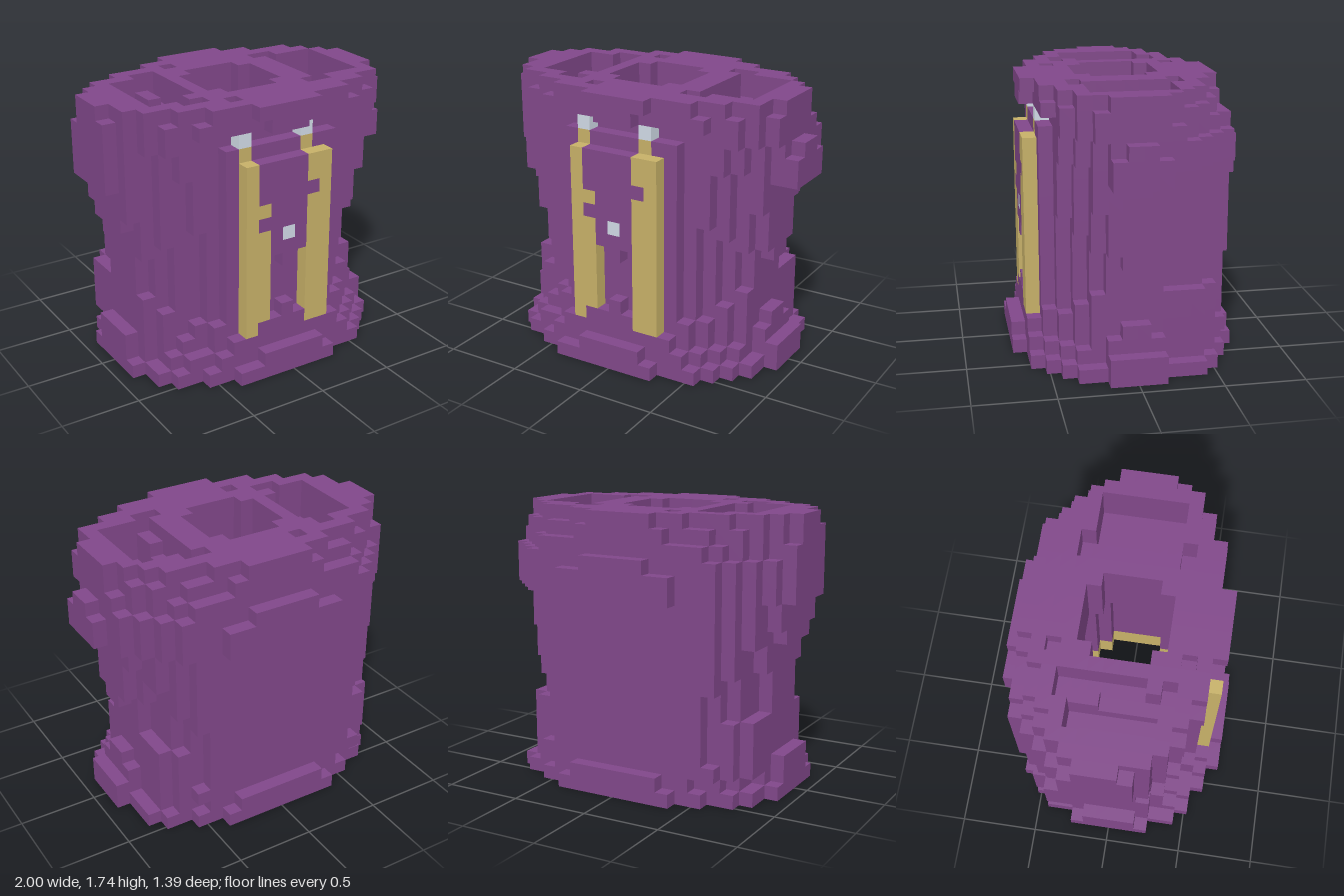
import * as THREE from 'three';

// Block grid: 23 wide (i), 20 high (j), 16 deep (k, back to front)
const NX = 23, NY = 20, NZ = 16, S = 2 / 23;

// Outlines per depth row: [first, last] column; null where the row is empty
const HEM = [[7, 15], [5, 17], [3, 19], [2, 20], [2, 20], [1, 20], [1, 21], [1, 21],
  [1, 21], [1, 21], [1, 20], [2, 20], [2, 19], [3, 18], [5, 17], [7, 14]];
const SHOULDER = [null, [4, 18], [3, 19], [2, 20], [1, 21], [0, 21], [0, 21], [0, 21],
  [0, 21], [0, 21], [1, 21], [2, 20], [3, 19], null, null, null];
const RIM_LOWER = [null, [8, 14], [5, 17], [3, 19], [2, 20], [1, 20], [0, 21], [0, 21],
  [0, 21], [0, 21], [1, 21], [2, 20], [3, 19], [5, 17], [10, 12], null];
const RIM_UPPER = [null, [9, 13], [7, 15], [4, 18], [2, 19], [1, 20], [0, 21], [0, 21],
  [0, 21], [1, 21], [1, 20], [2, 20], [4, 18], [6, 16], [9, 13], null];
// Waist rows also hold the layer where the hem flare ends and where the chest swelling starts
const BODY = [null, [5, 16, 2, 8], [4, 17, 5, 9], [3, 18, 5, 11], [3, 18, 5, 11], [3, 18, 5, 9],
  [2, 19, 2, 9], [2, 19, 3, 8], [2, 19, 3, 8], [2, 19, 2, 9], [3, 18, 5, 9], [4, 17, 4, 10],
  [6, 16, 3, 11], [7, 15, 3, 20], null, null];

const within = (v, a, b) => v >= a && v <= b;
const inRow = (rows, i, k) => !!rows[k] && within(i, rows[k][0], rows[k][1]);
const narrowed = (rows, i, k) => inRow(rows, i - 1, k) && inRow(rows, i + 1, k);
// True when the blocks d away on the four sides are in the outline
const inset = (rows, i, k, d) => inRow(rows, i - d, k) && inRow(rows, i + d, k) &&
  inRow(rows, i, k - d) && inRow(rows, i, k + d);
// The same one block away, diagonals included
const insetAll = (rows, i, k) => inset(rows, i, k, 1) && narrowed(rows, i, k - 1) && narrowed(rows, i, k + 1);

function inBody(i, j, k) {
  if (!BODY[k]) return false;
  const [a, b, low, high] = BODY[k];
  const extra = j >= 12 && (k === 5 || k === 10) ? 1 : 0;
  const right = (j <= low || j >= high ? 1 : 0) + extra;
  const left = within(k, 6, 9) ? (j <= 2 || j >= 11 ? 1 : 0) : right;
  return within(i, a - left, b + right);
}

// Straps, studs and panel on the front
function frontPart(i, j, k) {
  if (k === 13 && (i === 8 || i === 13)) {
    if (j === 16) return 'straps';
    if (j === 17) return 'studs';
  }
  if (k !== 14 || !within(j, 3, 15)) return null;
  if (i === 8 || i === 14) return 'straps';
  if (i === 9 && (within(j, 4, 10) || j === 12)) return 'straps';
  if (i === 13 && j !== 13) return 'straps';
  if (i === 11 && j === 10) return 'studs';
  if (within(i, 9, 13) && (j >= 9 || j === 3)) return 'shell';
  if (i === 11 && (j === 8 || j === 4)) return 'shell';
  return null;
}

// Outer solid of the garment
function solid(i, j, k) {
  if (j === 0) return inRow(HEM, i, k);
  if (j === 1) {
    if (k === 15) return within(i, 9, 13);
    if (k === 0) return within(i, 8, 14);
    return within(k, 6, 9) ? inRow(HEM, i, k) : narrowed(HEM, i, k);
  }
  if (j === 2) {
    if (k === 14) return within(i, 7, 15);
    return inBody(i, j, k) || insetAll(HEM, i, k);
  }
  if (j === 19) return inRow(RIM_UPPER, i, k);
  if (j === 18) return inRow(RIM_LOWER, i, k);
  if (j >= 14) {
    // back plate and side knobs
    if (k === 0) return j <= 15 ? within(i, 7, 15) : j === 16 && within(i, 9, 13);
    if (i === 22) return j <= 15 ? within(k, 6, 9) : j === 16 && within(k, 7, 8);
    if (j === 17) return k <= 4 ? narrowed(SHOULDER, i, k) : inRow(SHOULDER, i, k);
    if (k <= 9) return inRow(SHOULDER, i, k);
    return inBody(i, j, k) || j >= 15 && narrowed(SHOULDER, i, k);
  }
  return inBody(i, j, k);
}

// Hollow body, neck opening and pockets in the top
function carved(i, j, k) {
  if (j < 15) {
    if (within(k, 6, 9)) return within(i, 5, 16);
    if (k === 5 || k === 10) return within(i, 6, 15);
    return (k === 4 || k === 11) && within(i, 7, 14);
  }
  if (within(k, 6, 9) ? within(i, 8, 13) : (k === 5 || k === 10) && within(i, 9, 12)) return true;
  if (j === 19 && (k === 3 || k === 12) && i === 8) return true;
  if (j < 17) return false;
  if (within(k, 5, 10)) {
    if (within(i, 3, 4) || within(i, 17, 19)) return true;
    if (i === 5) return j >= 18 && !(j === 18 && k < 7);
    if (i === 6) return j >= 18 && k < 10;
    if (i === 16) return j === 19 || j === 18 && k < 9;
  }
  return j >= 18 && (k === 4 || k === 11) && (within(i, 5, 6) || within(i, 15, 16));
}

function partAt(i, j, k) {
  if (i < 0 || j < 0 || k < 0 || i >= NX || j >= NY || k >= NZ) return null;
  const front = frontPart(i, j, k);
  if (front) return front;
  if (!solid(i, j, k) || carved(i, j, k)) return null;
  // lining ring inside the hem, with a groove around it
  if (j < 2 && insetAll(HEM, i, k)) {
    if (inset(HEM, i, k, 2)) return 'lining';
    if (j === 0) return null;
  }
  return 'shell';
}

// Face directions with two edge axes whose cross product is the normal
const SIDES = [
  [[1, 0, 0], [0, 1, 0], [0, 0, 1]], [[-1, 0, 0], [0, 0, 1], [0, 1, 0]],
  [[0, 1, 0], [0, 0, 1], [1, 0, 0]], [[0, -1, 0], [1, 0, 0], [0, 0, 1]],
  [[0, 0, 1], [1, 0, 0], [0, 1, 0]], [[0, 0, -1], [0, 1, 0], [1, 0, 0]]];

export function createModel() {
  const paint = (name, color) => {
    const m = new THREE.MeshStandardMaterial({ color });
    m.name = name;
    return m;
  };
  const purple = paint('purple', 0x804789);
  const gold = paint('gold', 0xc6b068);
  const silver = paint('silver', 0xd0dae6);
  const materials = { shell: purple, straps: gold, lining: gold, studs: silver };

  // Only the exposed block faces are built
  const data = {};
  for (const name in materials) data[name] = { pos: [], nor: [], idx: [] };
  for (let i = 0; i < NX; i++) for (let j = 0; j < NY; j++) for (let k = 0; k < NZ; k++) {
    const part = partAt(i, j, k);
    if (!part) continue;
    const { pos, nor, idx } = data[part];
    for (const [n, u, v] of SIDES) {
      if (partAt(i + n[0], j + n[1], k + n[2])) continue;
      const b = pos.length / 3;
      for (const [p, q] of [[-1, -1], [1, -1], [1, 1], [-1, 1]]) {
        const c = [0, 1, 2].map(a => 0.5 + (n[a] + p * u[a] + q * v[a]) / 2);
        pos.push((i + c[0] - NX / 2) * S, (j + c[1]) * S, (k + c[2] - NZ / 2) * S);
        nor.push(...n);
      }
      idx.push(b, b + 1, b + 2, b, b + 2, b + 3);
    }
  }

  const group = new THREE.Group();
  group.name = 'blockVest';
  for (const name in materials) {
    const g = new THREE.BufferGeometry();
    g.setAttribute('position', new THREE.Float32BufferAttribute(data[name].pos, 3));
    g.setAttribute('normal', new THREE.Float32BufferAttribute(data[name].nor, 3));
    g.setIndex(data[name].idx);
    const mesh = new THREE.Mesh(g, materials[name]);
    mesh.name = name;
    group.add(mesh);
  }
  return group;
}
